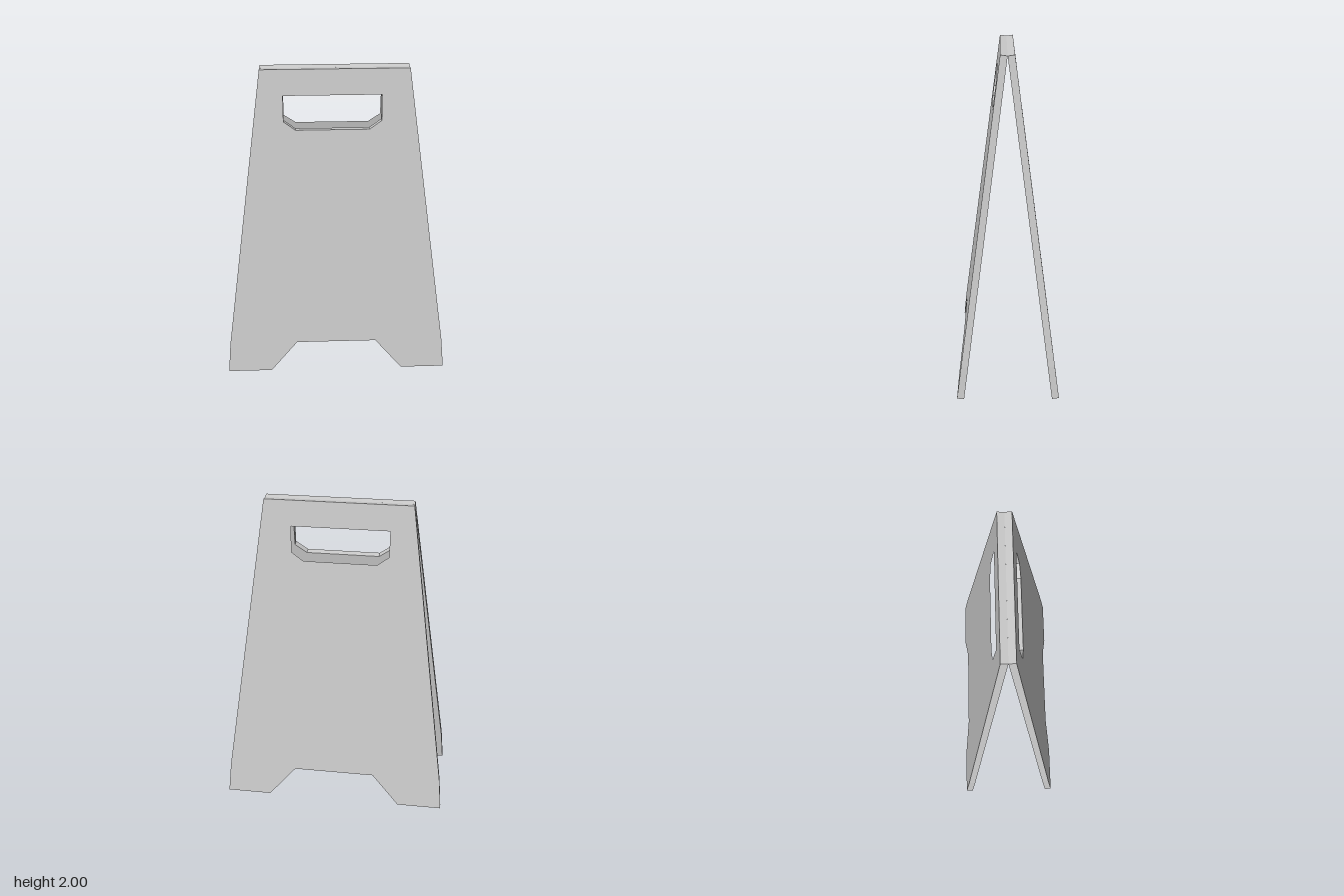
import * as THREE from 'three';

const TILT = 0.1306;      // lean of each board from vertical
const THICKNESS = 0.042;
const FOOT_Z = 0.262;     // inner bottom edge of each board

// Outline points are [x, height]; heights are stretched along the leaning board.
const toPoints = (points, side) => points.map(([x, y]) => new THREE.Vector2(
  x * side, Math.max(0, y - THICKNESS * Math.sin(TILT)) / Math.cos(TILT)));

function boardGeometry(side) {
  // Tapered board with a notch between its two feet
  const half = [[0.257, 0.213], [0.43, 0], [0.713, 0], [0.695, 0.205], [0.437, 2]];
  const mirrored = half.map(([x, y]) => [-x, y]).reverse();
  const shape = new THREE.Shape(toPoints([...half, ...mirrored], side));

  // Hand slot with clipped lower corners
  const slot = [[-0.305, 1.847], [-0.305, 1.692], [-0.235, 1.641],
    [0.204, 1.641], [0.275, 1.692], [0.275, 1.847]];
  shape.holes.push(new THREE.Path(toPoints(slot, side)));

  return new THREE.ExtrudeGeometry(shape, { depth: THICKNESS, bevelEnabled: false });
}

export function createModel() {
  const group = new THREE.Group();
  group.name = 'foldingFloorSign';
  const material = new THREE.MeshStandardMaterial({ color: 0xcccccc });

  // Two boards leaning together at the top, slots lined up
  for (const [name, side] of [['frontBoard', 1], ['backBoard', -1]]) {
    const board = new THREE.Mesh(boardGeometry(side), material);
    board.name = name;
    board.rotation.x = -TILT;
    board.position.z = FOOT_Z;
    const mount = new THREE.Group();
    mount.name = name + 'Mount';
    mount.rotation.y = side > 0 ? 0 : Math.PI;
    mount.add(board);
    group.add(mount);
  }
  return group;
}
